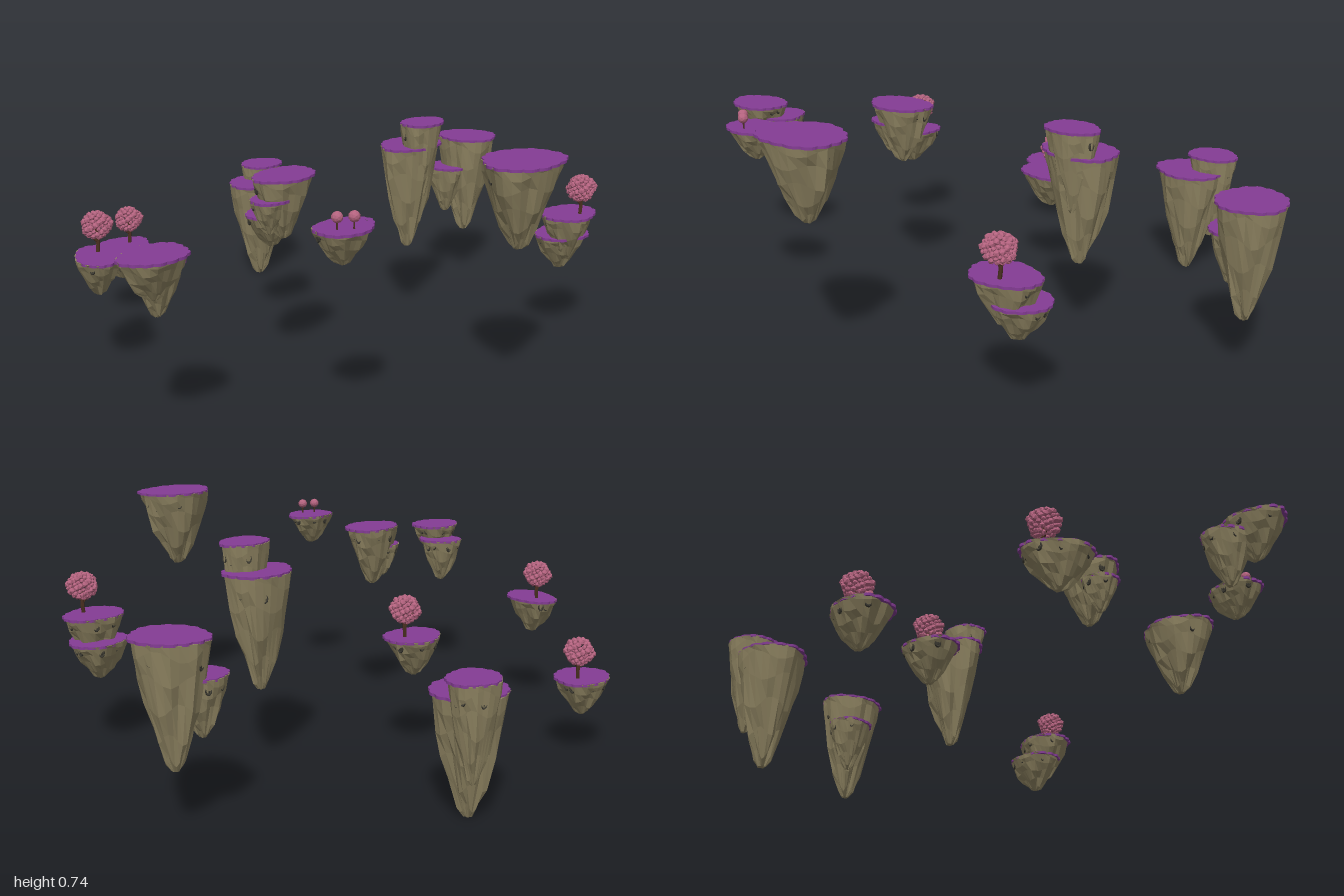
import * as THREE from 'three';
import { mergeGeometries } from 'three/addons/utils/BufferGeometryUtils.js';

const mat = (color, extra = {}) => new THREE.MeshStandardMaterial({ color, flatShading: true, ...extra });
const rockMat = mat(0x8f8462);
const grassMat = mat(0x843c94);
const knotMat = mat(0x3a3830);
const trunkMat = mat(0x4a3020);
const leafMat = mat(0xb4637f);

// x, z, half width, half depth, top y, bottom y, turn about y
const ISLANDS = [
  [-0.216, -0.745, 0.105, 0.085, 0.25, 0.13],
  [0.405, -0.655, 0.122, 0.11, 0.362, 0],
  [0.467, -0.693, 0.088, 0.075, 0.415, 0.12],
  [-0.625, -0.41, 0.11, 0.075, 0.382, 0.26, 0.96],
  [0.06, -0.305, 0.106, 0.085, 0.382, 0.26],
  [0.89, -0.043, 0.105, 0.115, 0.535, 0.17],
  [0.823, -0.085, 0.075, 0.08, 0.425, 0.25],
  [0.382, 0.035, 0.124, 0.096, 0.604, 0.245],
  [0.382, 0.083, 0.09, 0.068, 0.685, 0.42],
  [-0.295, 0.04, 0.115, 0.082, 0.635, 0.44],
  [-0.35, 0.03, 0.064, 0.06, 0.57, 0.46],
  [0.494, 0.575, 0.109, 0.085, 0.43, 0.28],
  [0.512, 0.545, 0.104, 0.085, 0.355, 0.235],
  [-0.083, 0.705, 0.145, 0.112, 0.735, 0.48],
  [-0.548, 0.445, 0.1, 0.075, 0.61, 0.505],
  [-0.89, 0.095, 0.108, 0.084, 0.555, 0.43],
  [-0.832, 0.045, 0.077, 0.082, 0.51, 0.355],
];

// Rock radius from bottom (0) to top (1)
const PROFILE = [[0, 0], [0.1, 0], [0.24, 0.09], [0.44, 0.27], [0.66, 0.5], [0.82, 0.72], [0.93, 0.9], [0.97, 0.985], [0, 0.99]];

// Uneven outline of one island, about 1 at its widest
const outline = (a, seed) =>
  0.95 + 0.03 * Math.cos(3 * a + seed * 1.7) + 0.02 * Math.cos(5 * a + seed * 2.3);

// Ridges running down the rock, fading at the rim
const rockRadius = (a, t, seed) =>
  outline(a, seed) * (1 + (1 - t) * (0.16 * Math.cos(5 * a + seed) + 0.1 * Math.cos(8 * a + seed * 3 + t * 3))
    + 0.025 * Math.cos(11 * a + seed * 2));

function rockGeometry(rx, rz, height, seed) {
  const g = new THREE.LatheGeometry(PROFILE.map(([r, t]) => new THREE.Vector2(r, t)), 26);
  const p = g.attributes.position;
  for (let i = 0; i < p.count; i++) {
    const x = p.getX(i), t = p.getY(i), z = p.getZ(i);
    const a = Math.atan2(z, x);
    const k = rockRadius(a, t, seed);
    const r = Math.hypot(x, z);
    // ring heights wander a little between the fixed ends
    const wobble = r > 0 && t > 0 && t < 0.95 ? 0.045 * Math.sin(4 * a + seed + t * 9) : 0;
    p.setXYZ(i, x * k * rx, (t + wobble) * height, z * k * rz);
  }
  return g;
}

// Thin scalloped grass slab
function grassGeometry(rx, rz, seed) {
  const pts = [];
  const n = 96;
  for (let i = 0; i < n; i++) {
    const a = (i / n) * Math.PI * 2;
    const r = outline(a, seed) * (0.96 + 0.06 * Math.abs(Math.sin(a * 8 + seed)));
    pts.push(new THREE.Vector2(Math.cos(a) * r * rx, -Math.sin(a) * r * rz));
  }
  const g = new THREE.ExtrudeGeometry(new THREE.Shape(pts), { depth: 0.008, bevelEnabled: false });
  return g.rotateX(-Math.PI / 2);
}

// Dark oval knot holes set into the upper rock
function knotGeometry(rx, rz, height, seed) {
  const parts = [];
  const size = 0.011 + 0.03 * Math.min(rx, rz);
  for (const a of [0, 0.35, -0.9, -1.6, -2.7]) {
    const t = 0.84 + 0.03 * Math.sin(a * 5 + seed);
    const r = 0.83 * rockRadius(a, t, seed);
    const ring = new THREE.TorusGeometry(size * 0.75, size * 0.28, 5, 10);
    const hole = new THREE.SphereGeometry(size * 0.6, 8, 5).scale(1, 1, 0.4);
    for (const g of [ring, hole]) {
      g.scale(0.75, 1.1, 1).rotateY(Math.PI / 2 - a);
      parts.push(g.translate(Math.cos(a) * r * rx, t * height, Math.sin(a) * r * rz));
    }
  }
  return mergeGeometries(parts);
}

function makeIsland([x, z, rx, rz, top, bottom, turn = 0], seed) {
  const island = new THREE.Group();
  island.name = 'island';
  const height = top - bottom;
  const add = (name, geometry, material) => {
    const mesh = new THREE.Mesh(geometry, material);
    mesh.name = name;
    island.add(mesh);
    return mesh;
  };
  add('rock', rockGeometry(rx, rz, height, seed), rockMat);
  add('grass', grassGeometry(rx, rz, seed), grassMat).position.set(0, height - 0.008, 0.005);
  add('knots', knotGeometry(rx, rz, height, seed), knotMat);
  island.position.set(x, bottom, z);
  island.rotation.y = turn;
  return island;
}

// Blossom tree: bent trunk, two branches and a crown of small tufts
function makeTree(x, y, z) {
  const tree = new THREE.Group();
  tree.name = 'tree';
  const limb = (pts, r) => new THREE.TubeGeometry(
    new THREE.CatmullRomCurve3(pts.map((p) => new THREE.Vector3(...p))), 6, r, 6);
  const trunk = new THREE.Mesh(mergeGeometries([
    limb([[0, -0.005, 0], [0.004, 0.03, 0], [0, 0.075, 0]], 0.006),
    limb([[0.002, 0.035, 0], [0.02, 0.055, 0.008], [0.028, 0.075, 0.01]], 0.003),
    limb([[0.002, 0.03, 0], [-0.018, 0.052, -0.008], [-0.028, 0.07, -0.01]], 0.003),
  ]), trunkMat);
  trunk.name = 'trunk';
  const tufts = [];
  const n = 90;
  for (let i = 0; i < n; i++) {
    const h = 1 - (2 * (i + 0.5)) / n, a = i * 2.39996;
    const r = Math.sqrt(1 - h * h) * (0.9 + 0.1 * Math.sin(i * 5.3));
    const tuft = new THREE.IcosahedronGeometry(0.009 + 0.002 * Math.sin(i * 3.1), 0);
    tuft.rotateX(i).rotateY(i * 1.7);
    tufts.push(tuft.translate(Math.cos(a) * r * 0.045, 0.084 + h * 0.037, Math.sin(a) * r * 0.042));
  }
  const crown = new THREE.Mesh(mergeGeometries(tufts), leafMat);
  crown.name = 'crown';
  tree.add(trunk, crown);
  tree.position.set(x, y, z);
  return tree;
}

// Little sapling with a round tuft
function makeSapling(x, y, z) {
  const sapling = new THREE.Group();
  sapling.name = 'sapling';
  const stem = new THREE.Mesh(new THREE.CylinderGeometry(0.002, 0.003, 0.028, 5), trunkMat);
  stem.name = 'stem';
  stem.position.y = 0.012;
  const tuft = new THREE.Mesh(new THREE.IcosahedronGeometry(0.016, 1), leafMat);
  tuft.name = 'tuft';
  tuft.position.y = 0.033;
  sapling.add(stem, tuft);
  sapling.position.set(x, y, z);
  return sapling;
}

export function createModel() {
  const model = new THREE.Group();
  model.name = 'floatingIslands';
  ISLANDS.forEach((spec, i) => model.add(makeIsland(spec, i * 1.3 + 0.4)));
  for (const p of [[-0.185, 0.25, -0.74], [-0.6, 0.382, -0.435], [0.09, 0.382, -0.29], [0.5, 0.43, 0.615]]) {
    model.add(makeTree(...p));
  }
  for (const p of [[-0.588, 0.61, 0.455], [-0.555, 0.61, 0.485]]) model.add(makeSapling(...p));
  return model;
}
